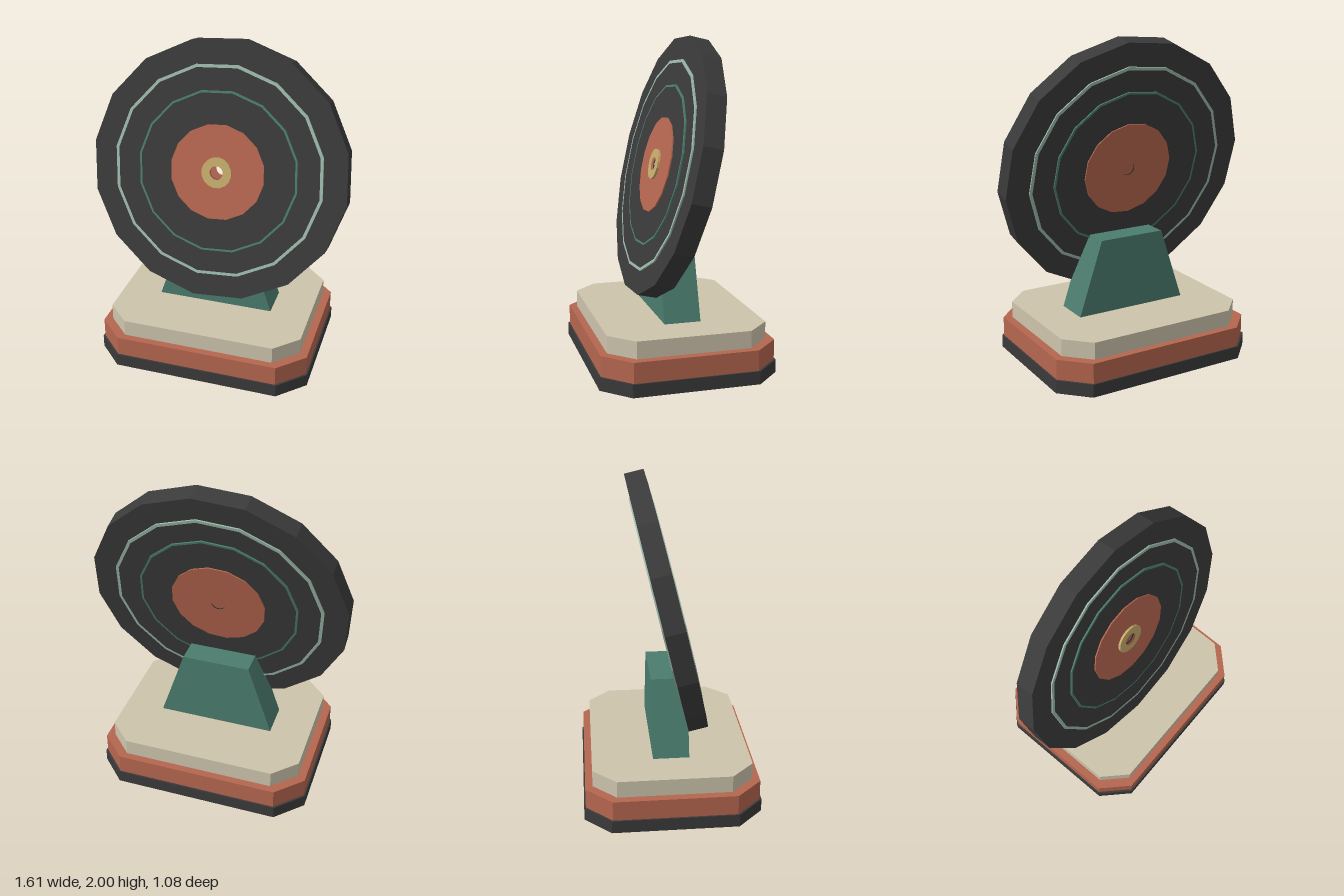
import * as THREE from 'three';

const material = (name, color) => {
  const m = new THREE.MeshStandardMaterial({ color, flatShading: true });
  m.name = name;
  return m;
};

export function createModel() {
  const charcoal = material('charcoal', 0x3a3a3a);
  const terracotta = material('terracotta', 0xb5664f);
  const cream = material('cream', 0xcdc4ac);
  const green = material('green', 0x4b7c6e);
  const paleGreen = material('pale green', 0x9ab8a9);
  const gold = material('gold', 0xc4aa6b);

  const model = new THREE.Group();
  model.name = 'discTrophy';

  const add = (parent, name, geometry, mat) => {
    const mesh = new THREE.Mesh(geometry, mat);
    mesh.name = name;
    parent.add(mesh);
    return mesh;
  };
  const extrude = (shape, depth) =>
    new THREE.ExtrudeGeometry(shape, { depth, bevelEnabled: false, curveSegments: 1 });

  // Base: stacked slabs with cut corners
  const slab = (name, hx, hz, cut, y0, y1, mat) => {
    const shape = new THREE.Shape([
      [hx, -hz + cut], [hx, hz - cut], [hx - cut, hz], [-hx + cut, hz],
      [-hx, hz - cut], [-hx, -hz + cut], [-hx + cut, -hz], [hx - cut, -hz],
    ].map(([x, y]) => new THREE.Vector2(x, y)));
    const geometry = extrude(shape, y1 - y0).rotateX(-Math.PI / 2).translate(0, y0, 0);
    add(model, name, geometry, mat);
  };
  slab('baseFoot', 0.68, 0.542, 0.16, 0, 0.08, charcoal);
  slab('baseMiddle', 0.67, 0.532, 0.158, 0.08, 0.205, terracotta);
  slab('baseTop', 0.62, 0.487, 0.142, 0.205, 0.31, cream);

  // Tapered support block
  const support = new THREE.Shape([
    [-0.37, 0.31], [0.37, 0.31], [0.215, 0.775], [-0.215, 0.775],
  ].map(([x, y]) => new THREE.Vector2(x, y)));
  add(model, 'support', extrude(support, 0.224).translate(0, 0, -0.112), green);

  // Tilted disc assembly; rings are faceted with a slight turn
  const disc = new THREE.Group();
  disc.name = 'disc';
  disc.position.set(0, 1.205, 0.002);
  disc.rotation.x = -0.2286;
  model.add(disc);

  const polygon = (r, sides = 16) => Array.from({ length: sides }, (_, i) => {
    const a = 0.127 + (i / sides) * Math.PI * 2;
    return new THREE.Vector2(r * Math.sin(a), r * Math.cos(a));
  });
  const ring = (name, outer, inner, z0, z1, mat) => {
    const shape = new THREE.Shape(polygon(outer));
    shape.holes.push(new THREE.Path(polygon(inner)));
    add(disc, name, extrude(shape, z1 - z0).translate(0, 0, z0), mat);
  };
  const half = 0.06;
  const hole = 0.042;
  ring('discBody', 0.81, hole, -half, half, charcoal);

  // Grooves and label on both faces
  for (const [side, s] of [['front', 1], ['back', -1]]) {
    const plate = (name, outer, inner, height, mat) =>
      ring(side + name, outer, inner, Math.min(s * half, s * (half + height)),
        Math.max(s * half, s * (half + height)), mat);
    plate('OuterGroove', 0.664, 0.645, 0.009, paleGreen);
    plate('InnerGroove', 0.506, 0.493, 0.009, green);
    plate('Label', 0.298, hole, 0.008, terracotta);
  }

  // Raised hub on the front label
  ring('hub', 0.095, hole, half + 0.008, half + 0.022, gold);

  return model;
}
